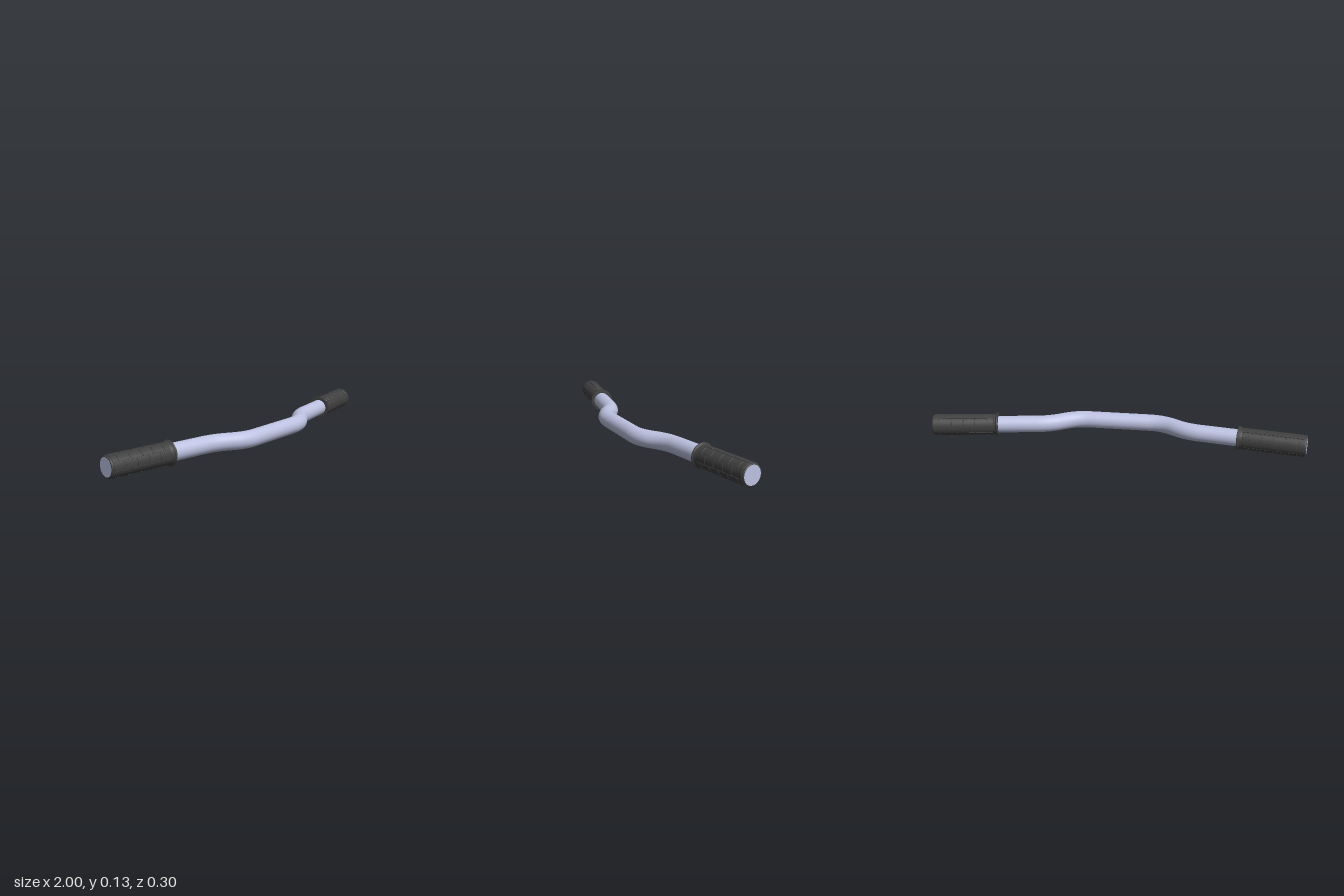
import * as THREE from 'three';

const Y = 0.0645;             // height of the bar axis
const BAR_R = 0.045;
const GRIP_R = 0.0565;
const P = (x, z) => new THREE.Vector3(x, Y, z);
const metal = new THREE.MeshStandardMaterial({ color: 0xbcc1e0 });
const rubber = new THREE.MeshStandardMaterial({ color: 0x404040, side: THREE.DoubleSide });

// Centre line with rounded bends
function barPath() {
  const half = [[0.235, 0.104], [0.375, 0.008], [0.991, -0.0935]];
  const corners = [...half.map(([x, z]) => P(-x, z)).reverse(), ...half.map(([x, z]) => P(x, z))];
  const path = new THREE.CurvePath();
  let from = corners[0];
  for (let i = 1; i < corners.length - 1; i++) {
    const c = corners[i];
    const trim = (to) => c.clone().add(to.clone().sub(c).setLength(0.07));
    const a = trim(corners[i - 1]), b = trim(corners[i + 1]);
    path.add(new THREE.LineCurve3(from, a));
    path.add(new THREE.QuadraticBezierCurve3(a, c, b));
    from = b;
  }
  path.add(new THREE.LineCurve3(from, corners[corners.length - 1]));
  return path;
}

// Raised curved pad: a ring sector extruded along the grip
function padGeometry(angle, length) {
  const s = new THREE.Shape();
  s.absarc(0, 0, GRIP_R - 0.001, -angle / 2, angle / 2, false);
  s.absarc(0, 0, GRIP_R - 0.005, angle / 2, -angle / 2, true);
  const g = new THREE.ExtrudeGeometry(s, {
    depth: length - 0.002, curveSegments: 8,
    bevelEnabled: true, bevelThickness: 0.001, bevelSize: 0.001, bevelSegments: 1,
  });
  return g.rotateX(-Math.PI / 2);
}

// Grip built along +y, from the flange outward
function makeGrip(length) {
  const grip = new THREE.Group();
  const profile = [
    [BAR_R, 0], [0.062, 0], [0.064, 0.002], [0.064, 0.007], [0.062, 0.009],
    [0.058, 0.011], [0.0565, 0.016], [0.0565, 0.024], [0.054, 0.026],
    [0.054, length - 0.012], [0.0535, length - 0.005], [0.051, length - 0.001],
    [0.0465, length],
  ].map(([r, y]) => new THREE.Vector2(r, y));
  const sleeve = new THREE.Mesh(new THREE.LatheGeometry(profile, 48), rubber);
  sleeve.name = 'gripSleeve';
  grip.add(sleeve);

  // Staggered rows of tread pads
  const columns = 8, rows = 5, start = 0.028, end = length - 0.007;
  const pitch = (end - start) / rows, gap = 0.004;
  const angle = (Math.PI * 2) / columns - 0.07;
  const full = padGeometry(angle, pitch - gap);
  const short = padGeometry(angle, pitch / 2 - gap);
  for (let c = 0; c < columns; c++) {
    const odd = c % 2 === 1;
    const count = odd ? rows + 1 : rows;
    for (let r = 0; r < count; r++) {
      const isShort = odd && (r === 0 || r === rows);
      const pad = new THREE.Mesh(isShort ? short : full, rubber);
      pad.name = 'gripPad';
      pad.position.y = start + gap / 2 + (odd && r > 0 ? r - 0.5 : r) * pitch;
      pad.rotation.y = (c / columns) * Math.PI * 2;
      grip.add(pad);
    }
  }

  // Exposed bar end
  const cap = new THREE.Mesh(new THREE.CircleGeometry(0.047, 48).rotateX(-Math.PI / 2), metal);
  cap.position.y = length;
  cap.name = 'barEnd';
  grip.add(cap);
  return grip;
}

export function createModel() {
  const model = new THREE.Group();
  model.name = 'handlebar';

  const bar = new THREE.Mesh(new THREE.TubeGeometry(barPath(), 180, BAR_R, 40), metal);
  bar.name = 'bar';
  model.add(bar);

  for (const side of [1, -1]) {
    const inner = P(side * 0.643, -0.0362), outer = P(side * 0.991, -0.0935);
    const dir = outer.clone().sub(inner);
    const grip = makeGrip(dir.length());
    grip.name = side > 0 ? 'leftGrip' : 'rightGrip';
    grip.position.copy(inner);
    grip.quaternion.setFromUnitVectors(new THREE.Vector3(0, 1, 0), dir.normalize());
    model.add(grip);
  }
  return model;
}
